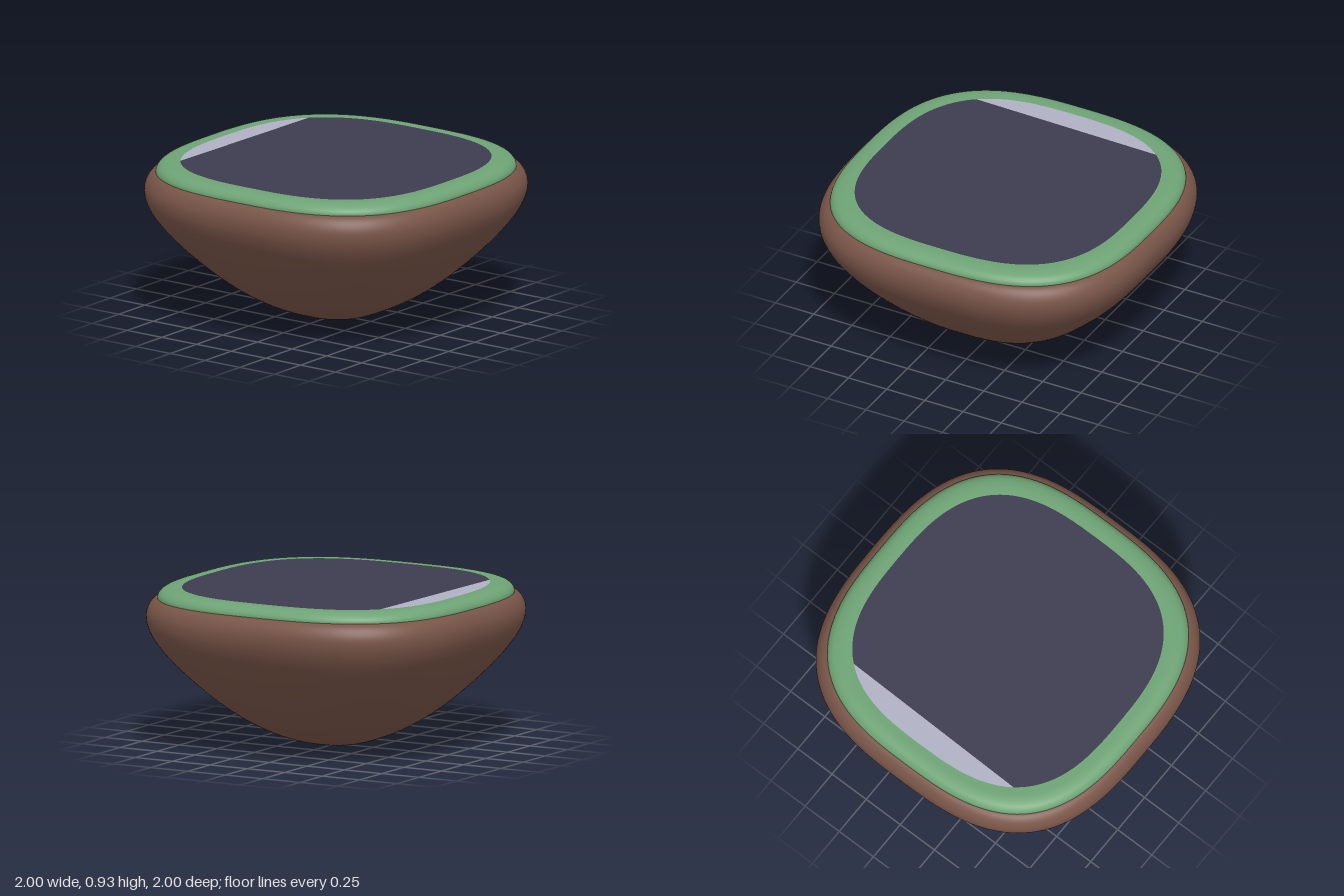
import * as THREE from 'three';

const SEG = 128, N = 2.85;
const brown = new THREE.MeshStandardMaterial({ color: 0x795548 });
brown.name = 'brownShell';
const green = new THREE.MeshStandardMaterial({ color: 0x6ea375 });
green.name = 'greenRim';
const dark = new THREE.MeshStandardMaterial({ color: 0x3d3b4f });
dark.name = 'darkScreen';
const light = new THREE.MeshStandardMaterial({ color: 0xafb0c2 });
light.name = 'paleGlare';

// Point on a rounded-square outline (superellipse)
function outline(t, r, n = N) {
  const p = (v) => Math.sign(v) * Math.abs(v) ** (2 / n) * r;
  return [p(Math.cos(t)), p(Math.sin(t))];
}

// Sweep a bottom-to-top profile of [radius, y] around the outline
function sweep(profile, steps, exponent) {
  const curve = new THREE.SplineCurve(profile.map(([r, y]) => new THREE.Vector2(r, y)));
  const pos = [], index = [];
  for (let i = 0; i <= steps; i++) {
    const p = curve.getPoint(i / steps);
    const r = Math.max(p.x, 0);
    for (let j = 0; j < SEG; j++) {
      const [x, z] = outline((j / SEG) * Math.PI * 2, r, exponent(r));
      pos.push(x, p.y, z);
      if (i === steps) continue;
      const a = i * SEG + j, b = i * SEG + (j + 1) % SEG;
      if (i > 0) index.push(a, b + SEG, b);
      index.push(a, a + SEG, b + SEG);
    }
  }
  const g = new THREE.BufferGeometry();
  g.setAttribute('position', new THREE.Float32BufferAttribute(pos, 3));
  g.setIndex(index);
  g.computeVertexNormals();
  return g;
}

// Flat piece of the screen between two outline angles, closed by a chord
function screenPiece(from, to) {
  const pts = [];
  for (let i = 0; i <= 96; i++) {
    pts.push(new THREE.Vector2(...outline(from + ((to - from) * i) / 96, 0.812)));
  }
  return new THREE.ShapeGeometry(new THREE.Shape(pts)).rotateX(-Math.PI / 2).translate(0, 0.93, 0);
}

export function createModel() {
  const group = new THREE.Group();
  const add = (name, geometry, material) => {
    const mesh = new THREE.Mesh(geometry, material);
    mesh.name = name;
    group.add(mesh);
  };

  // Bowl-shaped shell, rounder in plan towards the bottom
  add('shell', sweep([
    [0, 0], [0.2, 0.025], [0.4, 0.105], [0.6, 0.24], [0.8, 0.43], [0.93, 0.59],
    [0.985, 0.69], [1, 0.77], [0.985, 0.83], [0.95, 0.868], [0.9, 0.875],
  ], 60, (r) => 2.3 + (N - 2.3) * Math.min(1, r / 0.9)), brown);

  // Raised rim around the screen
  add('rim', sweep([
    [0.935, 0.85], [0.94, 0.875], [0.932, 0.898], [0.908, 0.919], [0.865, 0.93], [0.81, 0.93],
  ], 30, () => N), green);

  // Screen with a pale glare strip along its back edge
  const angle = (x, y) => Math.atan2(Math.abs(y) ** (N / 2), Math.sign(x) * Math.abs(x) ** (N / 2));
  const t1 = angle(0.61, 0.655), t2 = angle(-0.58, 0.68);
  add('screen', screenPiece(t2, t1 + Math.PI * 2), dark);
  add('screenGlare', screenPiece(t1, t2), light);
  return group;
}
